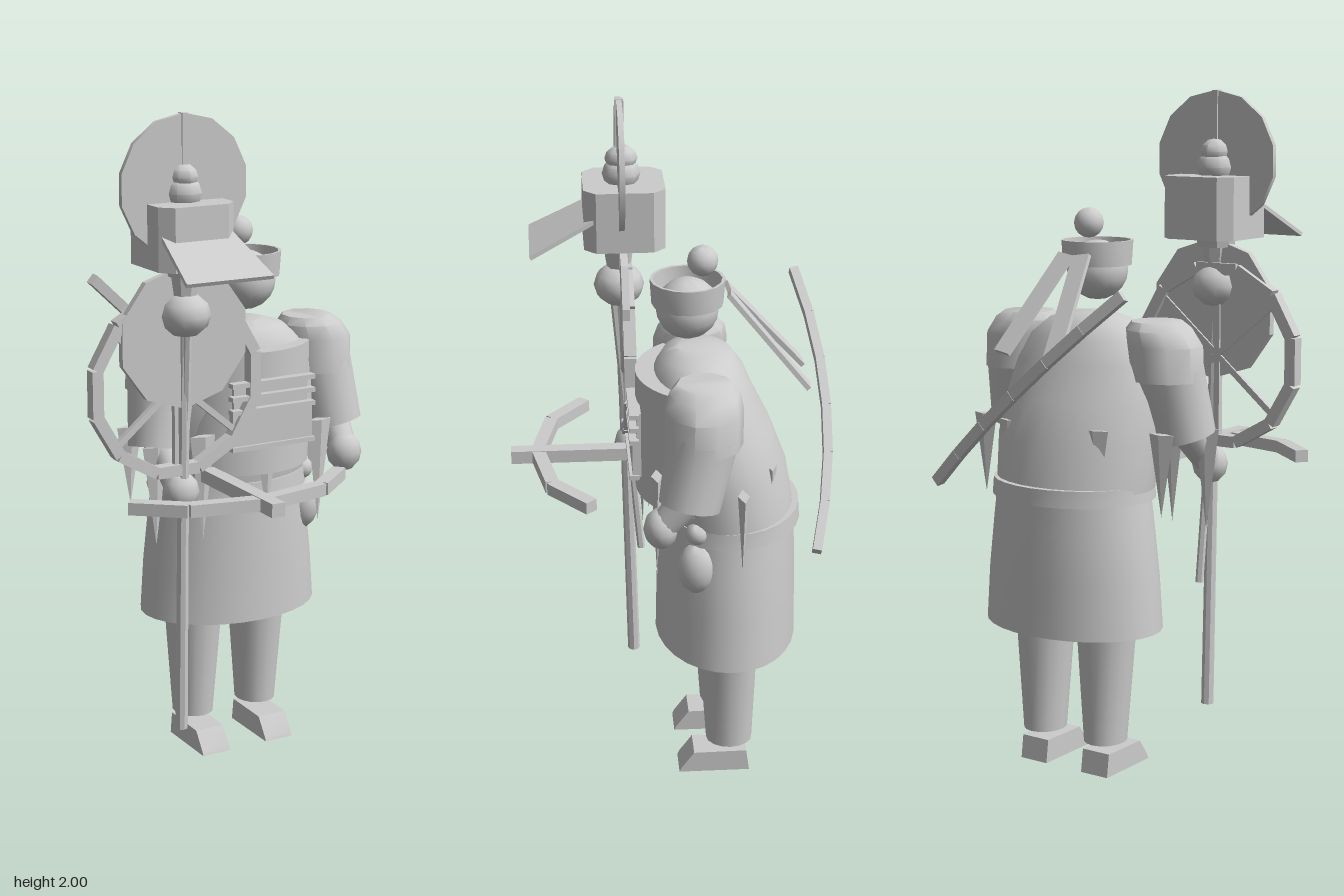
import * as THREE from 'three';
import { mergeVertices, toCreasedNormals } from 'three/addons/utils/BufferGeometryUtils.js';

const V = (x, y, z) => new THREE.Vector3(x, y, z);

export function createModel() {
  const root = new THREE.Group();
  root.name = 'pedlarWithStaff';
  const clay = new THREE.MeshStandardMaterial({ color: 0xcccccc, side: THREE.DoubleSide });
  clay.name = 'paleGrey';

  const add = (name, geo, x = 0, y = 0, z = 0, crease = 0.6) => {
    const m = new THREE.Mesh(toCreasedNormals(geo, crease), clay);
    m.name = name;
    m.position.set(x, y, z);
    root.add(m);
    return m;
  };
  const ball = (name, x, y, z, rx, ry = rx, rz = rx, seg = 16) =>
    add(name, new THREE.SphereGeometry(1, seg, Math.max(6, seg / 2)).scale(rx, ry, rz), x, y, z, 0.8);
  // Tapered round limb between two points
  const limb = (name, a, b, ra, rb, seg = 12) => {
    const d = b.clone().sub(a);
    const m = add(name, new THREE.CylinderGeometry(rb, ra, d.length(), seg));
    m.position.copy(a).add(b).multiplyScalar(0.5);
    m.quaternion.setFromUnitVectors(V(0, 1, 0), d.normalize());
    return m;
  };
  // Rectangular bar between two points, width set square to the given side direction
  const bar = (name, a, b, w, t, side = V(0, 0, 1)) => {
    const d = b.clone().sub(a);
    const m = add(name, new THREE.BoxGeometry(w, d.length(), t));
    const dy = d.normalize();
    const dx = new THREE.Vector3().crossVectors(dy, side).normalize();
    const dz = new THREE.Vector3().crossVectors(dx, dy);
    m.quaternion.setFromRotationMatrix(new THREE.Matrix4().makeBasis(dx, dy, dz));
    m.position.copy(a).add(b).multiplyScalar(0.5);
    return m;
  };
  const chain = (name, pts, w, t, side) => {
    for (let i = 1; i < pts.length; i++) bar(name, pts[i - 1], pts[i], w, t, side);
  };
  // Elliptical loft through rings of [y, centreX, centreZ, radiusX, radiusZ]
  const loft = (name, rings, seg = 28, crease = 0.7) => {
    const pos = [], idx = [], n = rings.length;
    for (const [y, cx, cz, rx, rz] of rings)
      for (let i = 0; i < seg; i++) {
        const a = (i / seg) * Math.PI * 2;
        pos.push(cx + rx * Math.sin(a), y, cz + rz * Math.cos(a));
      }
    for (let r = 0; r < n - 1; r++)
      for (let i = 0; i < seg; i++) {
        const j = (i + 1) % seg, a = r * seg;
        idx.push(a + i, a + j, a + seg + j, a + i, a + seg + j, a + seg + i);
      }
    for (let i = 1; i < seg - 1; i++) {
      const t = (n - 1) * seg;
      idx.push(0, i + 1, i, t, t + i, t + i + 1);
    }
    const g = new THREE.BufferGeometry();
    g.setAttribute('position', new THREE.Float32BufferAttribute(pos, 3));
    g.setIndex(idx);
    return add(name, mergeVertices(g), 0, 0, 0, crease);
  };

  // Legs and wedge shoes
  for (const x of [-0.015, 0.21]) {
    loft('leg', [[0.095, x, -0.175, 0.062, 0.07], [0.46, x, -0.168, 0.092, 0.09]], 16);
    const s = new THREE.Shape([[-0.02, 0], [-0.025, 0.012], [-0.065, 0.068], [-0.225, 0.07], [-0.235, 0]]
      .map(([z, y]) => new THREE.Vector2(-z, y)));
    const shoe = add('shoe', new THREE.ExtrudeGeometry(s, { depth: 0.095, bevelEnabled: false }), x - 0.0475, 0, 0);
    shoe.rotation.y = Math.PI / 2;
    shoe.position.set(x - 0.0475, 0, 0);
  }

  // Skirt, belt and cloak-covered torso
  loft('skirt', [[0.44, 0.105, -0.167, 0.286, 0.21], [0.6, 0.105, -0.167, 0.274, 0.207],
    [0.75, 0.105, -0.167, 0.255, 0.203], [0.84, 0.105, -0.167, 0.242, 0.2]]);
  loft('belt', [[0.83, 0.103, -0.167, 0.254, 0.217], [0.88, 0.103, -0.167, 0.25, 0.213]]);
  loft('torso', [[0.86, 0.1, -0.165, 0.25, 0.2], [1.0, 0.1, -0.14, 0.262, 0.2], [1.12, 0.1, -0.11, 0.255, 0.185],
    [1.22, 0.1, -0.09, 0.24, 0.155], [1.29, 0.1, -0.085, 0.2, 0.13], [1.34, 0.1, -0.08, 0.135, 0.1],
    [1.36, 0.1, -0.08, 0.07, 0.06]]);
  const bib = add('chestBib', new THREE.CylinderGeometry(0.25, 0.25, 0.37, 16, 1, false, -1.25, 2.5)
    .scale(0.92, 1, 0.92), 0.1, 1.105, -0.13);
  bib.scale.x = 1.02;

  // Ragged points hanging round the cloak
  for (const [x, z, top, tip] of [[0.1, 0.08, 1.02, 0.8], [0.3, 0.05, 1.05, 0.73], [-0.1, 0.05, 1.05, 0.73],
    [0.42, -0.185, 1.04, 0.8], [-0.22, -0.185, 1.04, 0.8], [0.25, -0.28, 1.05, 0.8], [-0.06, -0.28, 1.05, 0.8],
    [-0.24, 0.02, 1.03, 0.73]]) {
    const c = add('cloakPoint', new THREE.ConeGeometry(0.042, top - tip, 4).scale(1, 1, 0.4), x, (top + tip) / 2, z);
    c.rotation.z = Math.PI;
  }

  // Tray of bars on the chest
  add('chestTray', new THREE.BoxGeometry(0.27, 0.11, 0.02), 0.1, 1.065, 0.105);
  add('trayBack', new THREE.BoxGeometry(0.25, 0.2, 0.012), 0.1, 1.11, 0.096);
  for (const y of [1.205, 1.165, 1.125, 1.015])
    add('trayBar', new THREE.BoxGeometry(0.28, 0.014, 0.028), 0.1, y, 0.11);

  // Arms, mirrored about the body's middle
  for (const s of [1, -1]) {
    const X = (d) => 0.1 + s * d;
    loft('shoulderPuff', [[1.18, X(0.268), -0.076, 0.108, 0.11], [1.28, X(0.258), -0.078, 0.115, 0.11],
      [1.325, X(0.24), -0.08, 0.1, 0.1], [1.348, X(0.232), -0.08, 0.075, 0.078]], 10, 0.8);
    limb('sleeve', V(X(0.305), 1.01, -0.035), V(X(0.27), 1.21, -0.075), 0.088, 0.102, 14);
    const hand = s > 0 ? V(0.395, 0.935, 0.045) : V(-0.2, 0.91, 0.1);
    limb('forearm', V(X(0.3), 1.04, -0.04), hand, 0.05, 0.042);
    ball('hand', hand.x, hand.y, hand.z, 0.055, 0.06, 0.05, 12);
  }

  // Gourd at the hip
  ball('gourdBody', 0.312, 0.755, -0.065, 0.052, 0.08, 0.057);
  ball('gourdTop', 0.312, 0.868, -0.065, 0.034);

  // Head, open hat band, bobble and trailing ribbons
  ball('head', 0.1, 1.48, -0.05, 0.09, 0.088, 0.09, 20);
  add('hatBand', new THREE.LatheGeometry([[0.093, 1.495], [0.102, 1.495], [0.107, 1.568], [0.098, 1.568], [0.093, 1.495]]
    .map(([r, y]) => new THREE.Vector2(r, y)), 16), 0.1, 0, -0.05);
  ball('hatBobble', 0.1, 1.62, -0.092, 0.044);
  for (const s of [-1, 1])
    bar('hatRibbon', V(0.1 + s * 0.028, 1.53, -0.165), V(0.1 + s * 0.09, 1.265, -0.39), 0.055, 0.014, V(0, 0.64, -0.77));

  // Curved stick slung across the back
  const arc = [];
  for (let i = 0; i <= 6; i++) {
    const t = i / 3 - 1;
    arc.push(V(0.1 + 0.335 * t, 1.16 - 0.295 * t, -0.455 + 0.062 * t * t));
  }
  chain('backStick', arc, 0.032, 0.026);

  // Staff with a second thin rod
  limb('staff', V(-0.2, 0.17, 0.095), V(-0.2, 1.6, 0.13), 0.019, 0.016, 8);
  limb('thinRod', V(-0.185, 0.55, 0.07), V(-0.2, 1.45, 0.15), 0.012, 0.012, 6);

  // Spoked wheel
  const hub = V(-0.22, 1.235, 0.11), rim = [];
  for (let i = 0; i <= 12; i++) {
    const a = ((i + 0.5) / 12) * Math.PI * 2;
    rim.push(V(hub.x + 0.262 * Math.cos(a), hub.y + 0.262 * Math.sin(a), hub.z));
  }
  chain('wheelRim', rim, 0.034, 0.036);
  for (const deg of [40, 90, 140, 220, 270, 320]) {
    const a = deg * Math.PI / 180;
    bar('wheelSpoke', hub, V(hub.x + 0.255 * Math.cos(a), hub.y + 0.255 * Math.sin(a), hub.z), 0.018, 0.018);
  }

  // Lower and upper discs fixed to the staff
  const disc = (name, y, r, t, seg, z) => {
    add(name, new THREE.CylinderGeometry(r, r, t, seg).rotateX(Math.PI / 2), -0.2, y, z);
  };
  disc('lowerDisc', 1.37, 0.207, 0.022, 10, 0.118);
  disc('upperDisc', 1.8, 0.2, 0.016, 14, 0.125);
  add('upperDiscRib', new THREE.BoxGeometry(0.018, 0.4, 0.026), -0.2, 1.8, 0.125);

  // Lantern-like hat on the staff, with visor, knobs and ball below
  const w = 0.118, c = 0.035;
  const crown = new THREE.Shape([[-w + c, -w], [w - c, -w], [w, -w + c], [w, w - c], [w - c, w], [-w + c, w],
    [-w, w - c], [-w, -w + c]].map(([x, y]) => new THREE.Vector2(x, y)));
  add('capCrown', new THREE.ExtrudeGeometry(crown, { depth: 0.18, bevelEnabled: false }).rotateX(-Math.PI / 2),
    -0.2, 1.577, 0.115);
  const visor = new THREE.BoxGeometry(0.27, 0.012, 0.21);
  const p = visor.attributes.position;
  for (let i = 0; i < p.count; i++) if (p.getZ(i) < 0) p.setX(i, p.getX(i) * 0.82);
  visor.computeVertexNormals();
  add('capVisor', visor, -0.2, 1.622, 0.296).rotation.x = 0.48;
  ball('capKnobBase', -0.2, 1.78, 0.12, 0.056, 0.05, 0.056, 8);
  ball('capKnob', -0.2, 1.825, 0.12, 0.044, 0.038, 0.048, 8);
  add('capCollar', new THREE.CylinderGeometry(0.062, 0.055, 0.04, 10), -0.2, 1.57, 0.125);
  add('capNeck', new THREE.CylinderGeometry(0.045, 0.03, 0.1, 8), -0.2, 1.51, 0.13);
  ball('staffBall', -0.2, 1.437, 0.13, 0.074, 0.065, 0.075, 12);

  // Crossbow held level
  bar('bowStock', V(-0.09, 0.935, 0.06), V(-0.09, 0.935, 0.465), 0.042, 0.04, V(0, 1, 0));
  chain('bowLimb', [V(-0.435, 0.935, 0.235), V(-0.305, 0.935, 0.34), V(-0.09, 0.935, 0.385), V(0.125, 0.935, 0.345),
    V(0.255, 0.935, 0.235)], 0.04, 0.036, V(0, 1, 0));

  return root;
}
